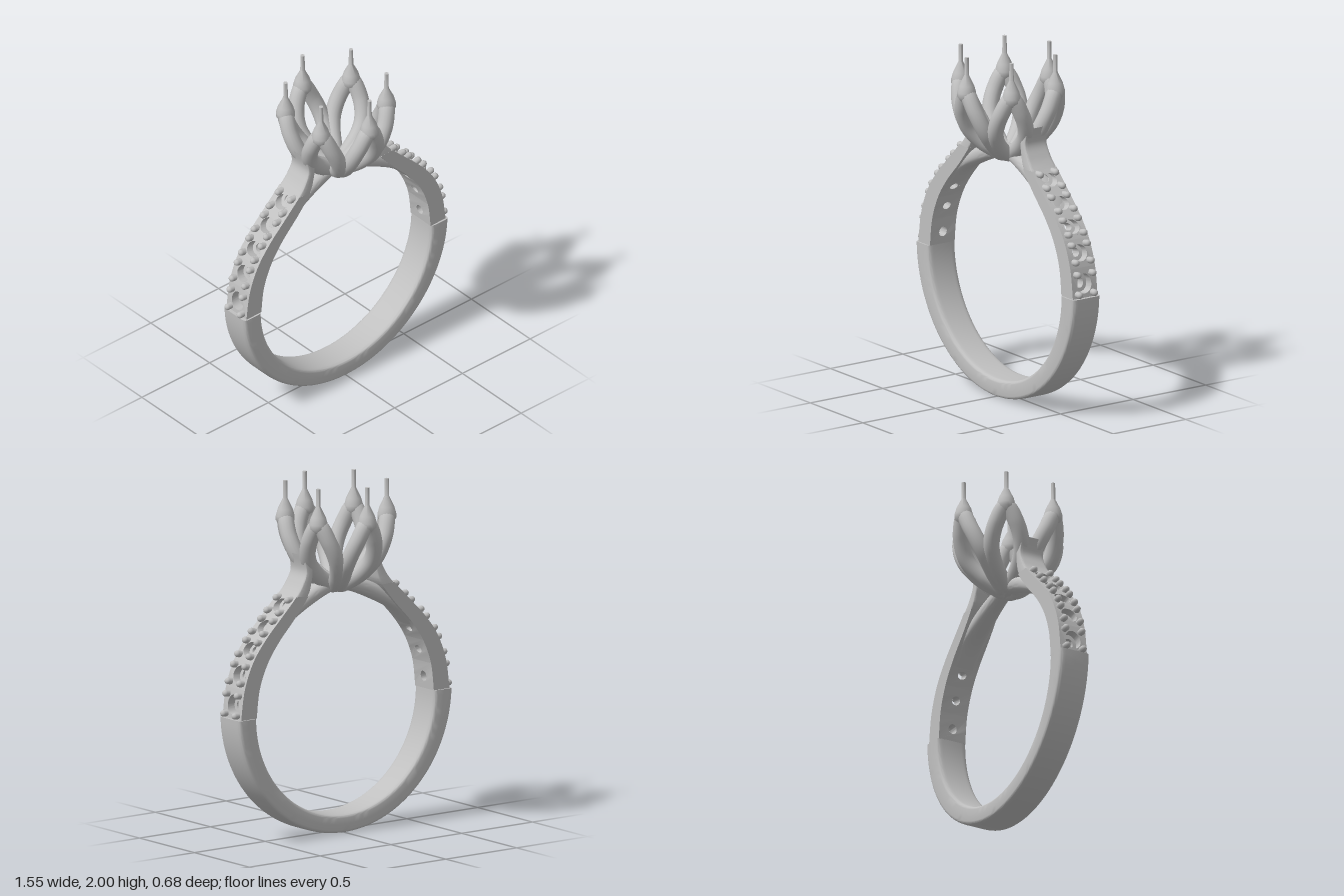
import * as THREE from 'three';
import { toCreasedNormals } from 'three/addons/utils/BufferGeometryUtils.js';

const V2 = (x, y) => new THREE.Vector2(x, y);
const V3 = (x, y, z) => new THREE.Vector3(x, y, z);
const CENTER_Y = 0.73; // middle of the finger hole

// Solid swept through sections { i: inner point, o: outer point, w: half width in z }
function loft(sections, power, n = 32) {
  const pos = [], idx = [];
  const bend = (v) => Math.sign(v) * Math.pow(Math.abs(v), 2 / power);
  sections.forEach(({ i, o, w }) => {
    for (let j = 0; j < n; j++) {
      const a = (j / n) * Math.PI * 2;
      const p = i.clone().lerp(o, 0.5 + bend(Math.sin(a)) / 2);
      pos.push(p.x, p.y, w * bend(Math.cos(a)));
    }
  });
  const last = sections.length - 1;
  const caps = [0, last].map((k) => {
    const c = sections[k].i.clone().lerp(sections[k].o, 0.5);
    pos.push(c.x, c.y, 0);
    return pos.length / 3 - 1;
  });
  for (let j = 0; j < n; j++) {
    const k = (j + 1) % n;
    for (let s = 0; s < last; s++) {
      const a = s * n, b = a + n;
      idx.push(a + j, b + j, b + k, a + j, b + k, a + k);
    }
    idx.push(caps[0], j, k, caps[1], last * n + k, last * n + j);
  }
  const g = new THREE.BufferGeometry();
  g.setAttribute('position', new THREE.Float32BufferAttribute(pos, 3));
  g.setIndex(idx);
  return toCreasedNormals(g, 0.6);
}

// Shoulder profile: inner and outer edge, one step per stone seat, then the curled tip
const curve = (pts) => new THREE.SplineCurve(pts.map(([x, y]) => V2(x, y)));
const innerEdge = curve([[0.625, 0.73], [0.605, 0.887], [0.55, 1.027], [0.468, 1.144], [0.35, 1.27],
  [0.26, 1.38], [0.233, 1.44], [0.221, 1.53], [0.277, 1.605]]);
const outerEdge = curve([[0.735, 0.73], [0.71, 0.9], [0.65, 1.05], [0.56, 1.17], [0.45, 1.28],
  [0.345, 1.385], [0.295, 1.45], [0.266, 1.52], [0.285, 1.612]]);
const STEPS = 8, SEATS = 5, CELL = 0.16, HALF_W = 0.085;

// One bent slab of the shoulder with a round hole, between depths t0 and t1
function seatSlab(cell, t0, t1, holeRadius) {
  const shape = new THREE.Shape();
  const m = 8;
  for (let k = 0; k <= m; k++) shape[k ? 'lineTo' : 'moveTo']((k / m) * CELL, -HALF_W);
  for (let k = m; k >= 0; k--) shape.lineTo((k / m) * CELL, HALF_W);
  const hole = new THREE.Path();
  hole.absarc(CELL / 2, 0, holeRadius, 0, Math.PI * 2, true);
  shape.holes.push(hole);
  const g = new THREE.ExtrudeGeometry(shape, { depth: 1, bevelEnabled: false, curveSegments: 24 });
  const p = g.attributes.position;
  for (let k = 0; k < p.count; k++) {
    const u = (cell + p.getX(k) / CELL) / STEPS;
    const q = innerEdge.getPoint(u).lerp(outerEdge.getPoint(u), t0 + (t1 - t0) * p.getZ(k));
    p.setXYZ(k, q.x, q.y, p.getY(k));
  }
  return toCreasedNormals(g, 0.5);
}

export function createModel() {
  const metal = new THREE.MeshStandardMaterial({ color: 0xc0c0c0 });
  metal.name = 'silver metal';
  const model = new THREE.Group();
  model.name = 'ring';
  const add = (parent, name, geometry) => {
    const mesh = new THREE.Mesh(geometry, metal);
    mesh.name = name;
    parent.add(mesh);
    return mesh;
  };

  // Lower half of the band, slightly thinner at the bottom
  const band = [];
  for (let k = 0; k <= 72; k++) {
    const a = -(k / 72) * Math.PI;
    const r = 0.755 - 0.025 * Math.abs(Math.sin(a));
    const at = (rad) => V2(rad * Math.cos(a), CENTER_Y + rad * Math.sin(a));
    band.push({ i: at(0.625), o: at(r), w: 0.095 });
  }
  add(model, 'band', loft(band, 7));

  // Shoulders with stone seats, bead prongs and curled tips
  for (const [name, turn] of [['left', 0], ['right', Math.PI]]) {
    const shoulder = new THREE.Group();
    shoulder.name = name + 'Shoulder';
    shoulder.rotation.y = turn;
    model.add(shoulder);
    for (let c = 0; c < SEATS; c++) {
      add(shoulder, 'seatFloor', seatSlab(c, 0, 0.55, 0.026));
      add(shoulder, 'seatRim', seatSlab(c, 0.55, 1, 0.048));
      for (const s of [0.2, 0.8]) {
        const u = (c + s) / STEPS;
        const o = outerEdge.getPoint(u);
        const dir = o.clone().sub(innerEdge.getPoint(u)).normalize();
        for (const z of [-0.052, 0.052]) {
          const bead = add(shoulder, 'beadProng', new THREE.CapsuleGeometry(0.019, 0.06, 4, 12));
          bead.position.set(o.x - dir.x * 0.008, o.y - dir.y * 0.008, z);
          bead.quaternion.setFromUnitVectors(V3(0, 1, 0), V3(dir.x, dir.y, 0));
        }
      }
    }
    const tip = [];
    for (let k = 0; k <= 20; k++) {
      const u = 1 - (k / 20) * (1 - SEATS / STEPS);
      tip.push({ i: innerEdge.getPoint(u), o: outerEdge.getPoint(u), w: 0.07 + 0.015 * (k / 20) });
    }
    add(shoulder, 'curledTip', loft(tip, 10));
  }

  // Arch that carries the head, from one shoulder to the other
  const half = [[0.5, 1.13, 0.075, 0.02], [0.4, 1.243, 0.07, 0.035], [0.25, 1.335, 0.06, 0.045],
    [0.1, 1.395, 0.05, 0.042]];
  const row = [...half.map(([x, ...r]) => [-x, ...r]), [0, 1.415, 0.046, 0.04], ...half.reverse()];
  const path = curve(row), size = new THREE.SplineCurve(row.map((p) => V2(p[2], p[3])));
  const arch = [];
  for (let k = 0; k <= 48; k++) {
    const c = path.getPoint(k / 48), t = path.getTangent(k / 48), s = size.getPoint(k / 48);
    const n = V2(-t.y, t.x).multiplyScalar(s.y);
    arch.push({ i: c.clone().sub(n), o: c.clone().add(n), w: s.x });
  }
  add(model, 'supportArch', loft(arch, 2.4));

  // Head: six looped petals, each with a cone and a thin prong
  const side = [[0.13, 1.47, 0.055], [0.215, 1.57, 0.085], [0.268, 1.69, 0.06]]; // radius, y, sideways
  const loop = new THREE.CatmullRomCurve3([
    V3(0.045, 1.41, 0),
    ...side.map(([r, y, t]) => V3(r, y, t)),
    V3(0.285, 1.79, 0),
    ...side.slice().reverse().map(([r, y, t]) => V3(r, y, -t)),
  ], true);
  const petalGeometry = new THREE.TubeGeometry(loop, 80, 0.046, 16, true);
  const profile = [[0, 1.74], [0.035, 1.75], [0.053, 1.775], [0.053, 1.8], [0.042, 1.84], [0.013, 1.9],
    [0.012, 2], [0, 2]];
  const prongGeometry = toCreasedNormals(
    new THREE.LatheGeometry(profile.map(([x, y]) => V2(x, y)), 20), 0.7);
  for (const deg of [32, 90, 148, 212, 270, 328]) {
    const petal = new THREE.Group();
    petal.name = 'petal';
    petal.rotation.y = THREE.MathUtils.degToRad(deg);
    add(petal, 'petalLoop', petalGeometry);
    add(petal, 'prong', prongGeometry).position.x = 0.285;
    model.add(petal);
  }
  return model;
}
